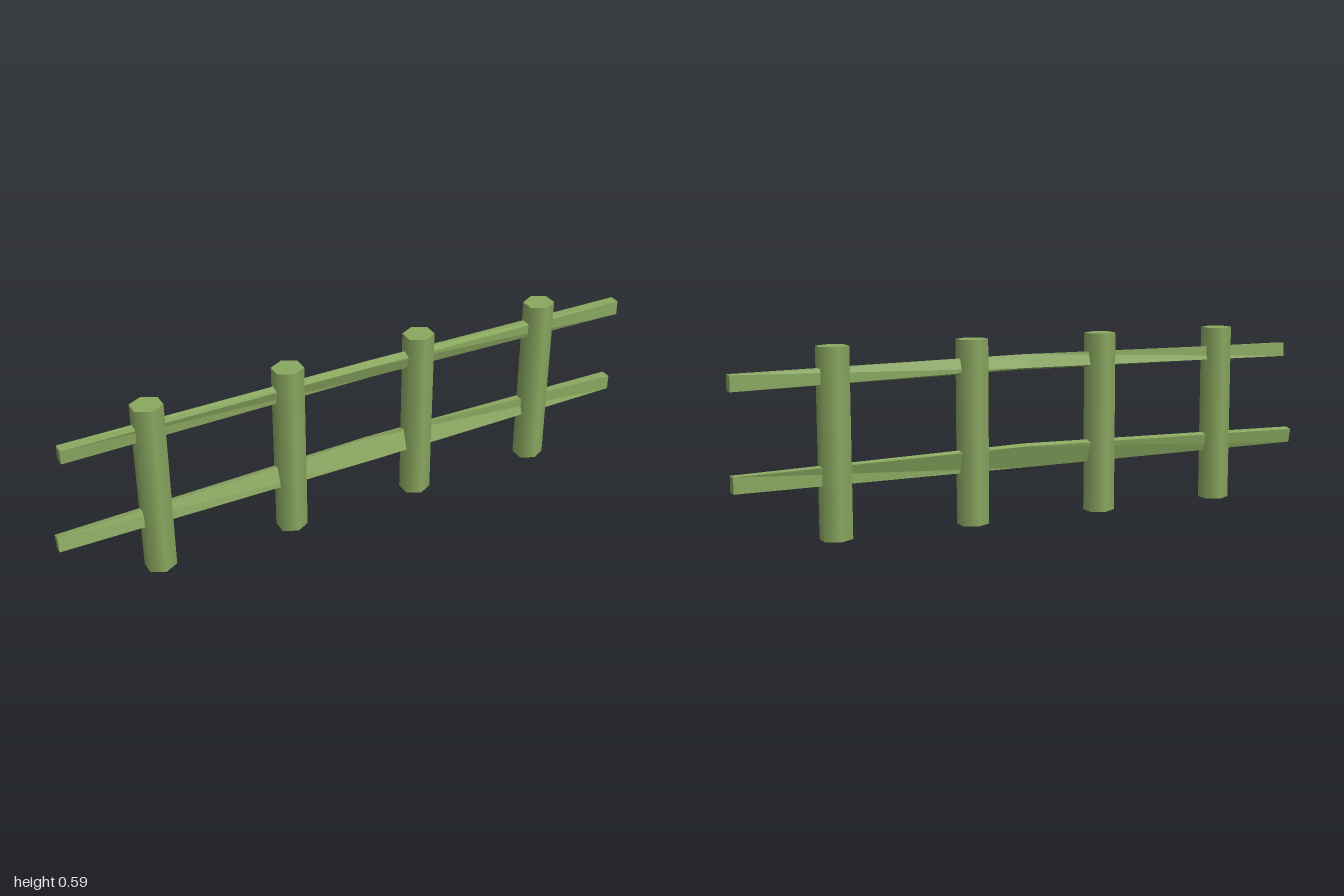
import * as THREE from 'three';

// Four-sided bar lofted through twisted rectangular sections along x.
// Section: [x, y centre, z centre, height, depth, twist]
function railGeometry(sections) {
  const loops = sections.map(([x, y, z, h, d, t]) => {
    const c = Math.cos(t), s = Math.sin(t);
    return [[-1, -1], [1, -1], [1, 1], [-1, 1]].map(([a, b]) => {
      const u = a * h / 2, v = b * d / 2;
      return [x, y + u * c + v * s, z - u * s + v * c];
    });
  });
  const pos = [];
  const quad = (a, b, c, d) => pos.push(...a, ...b, ...c, ...a, ...c, ...d);
  for (let k = 0; k < loops.length - 1; k++) {
    for (let i = 0; i < 4; i++) {
      const j = (i + 1) % 4;
      quad(loops[k][i], loops[k][j], loops[k + 1][j], loops[k + 1][i]);
    }
  }
  quad(...loops[loops.length - 1]);
  quad(...[...loops[0]].reverse());
  const geo = new THREE.BufferGeometry();
  geo.setAttribute('position', new THREE.Float32BufferAttribute(pos, 3));
  geo.computeVertexNormals();
  return geo;
}

export function createModel() {
  const model = new THREE.Group();
  model.name = 'fence';
  const green = new THREE.MeshStandardMaterial({ color: 0x8aa860 });
  green.name = 'mossGreen';

  // Hexagonal posts, with the line of posts running slightly askew
  const postGeo = new THREE.CylinderGeometry(0.047, 0.047, 0.587, 6);
  postGeo.scale(1.11, 1, 1);
  [-0.685, -0.23, 0.228, 0.683].forEach((x, i) => {
    const post = new THREE.Mesh(postGeo, green);
    post.name = `post${i + 1}`;
    post.position.set(x, 0.2935, -0.006 + i * 0.004);
    model.add(post);
  });

  // Rails, thicker and twisted towards the middle
  const rails = {
    upperRail: [
      [-0.96, 0.497, -0.006, 0.046, 0.033, -0.05],
      [0.05, 0.505, 0, 0.045, 0.03, -0.3],
      [1, 0.494, 0.005, 0.049, 0.034, 0],
    ],
    lowerRail: [
      [-1, 0.193, -0.005, 0.048, 0.026, 0.2],
      [0.05, 0.204, 0, 0.076, 0.022, 0.32],
      [1, 0.197, 0.001, 0.05, 0.034, 0],
    ],
  };
  for (const [name, sections] of Object.entries(rails)) {
    const rail = new THREE.Mesh(railGeometry(sections), green);
    rail.name = name;
    model.add(rail);
  }
  return model;
}
